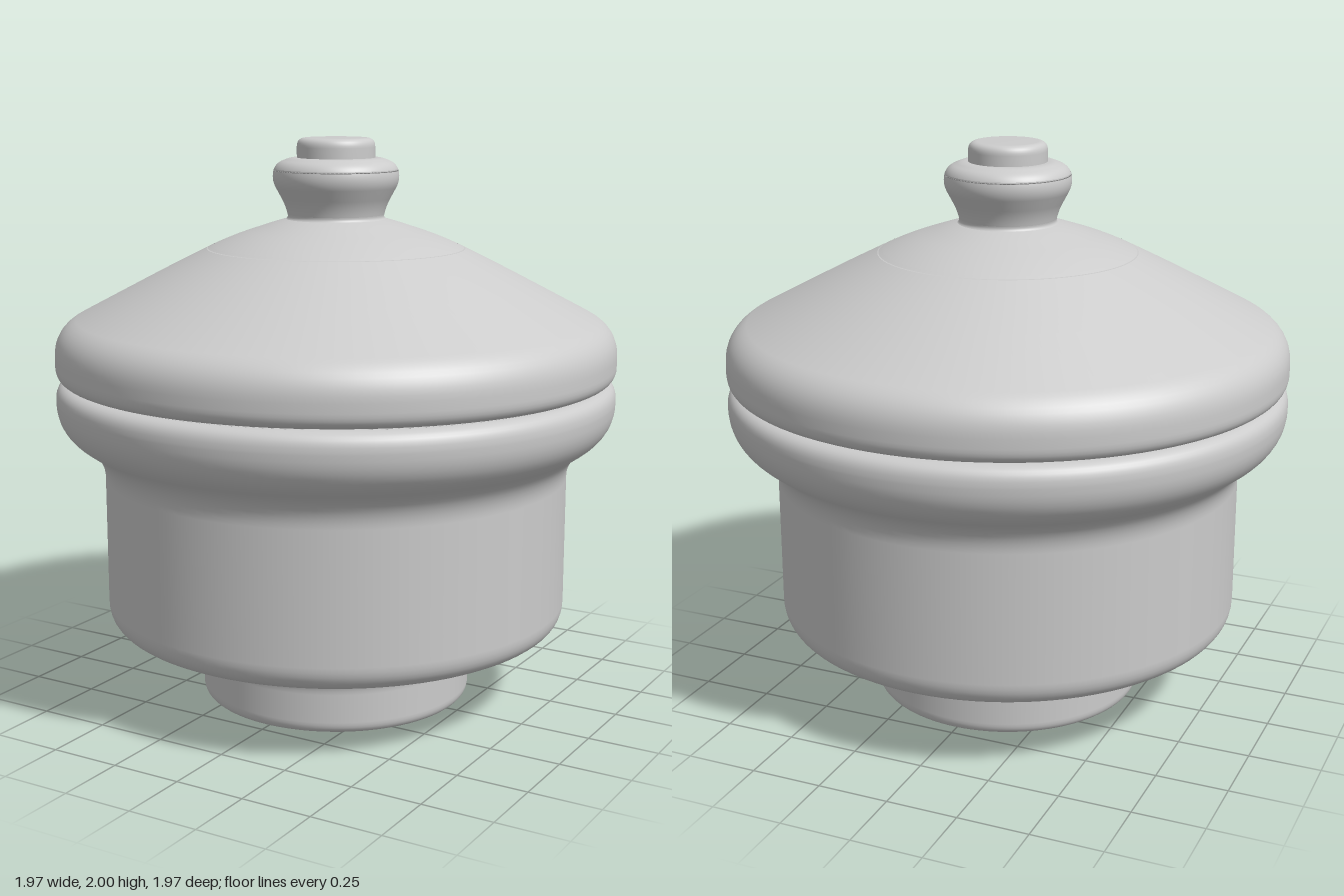
import * as THREE from 'three';

const material = new THREE.MeshStandardMaterial({ color: 0xcccccc });

// Turns corners [radius, height, fillet] into a smooth profile and spins it
function turned(name, corners) {
  const pts = corners.map(([r, y]) => new THREE.Vector2(r, y));
  const path = new THREE.Path().moveTo(pts[0].x, pts[0].y);
  for (let i = 1; i < pts.length; i++) {
    const p = pts[i];
    const fillet = corners[i][2] || 0;
    if (!fillet || i === pts.length - 1) {
      path.lineTo(p.x, p.y);
      continue;
    }
    const dirIn = pts[i - 1].clone().sub(p).setLength(fillet);
    const dirOut = pts[i + 1].clone().sub(p).setLength(fillet);
    path.lineTo(p.x + dirIn.x, p.y + dirIn.y);
    path.quadraticCurveTo(p.x, p.y, p.x + dirOut.x, p.y + dirOut.y);
  }
  const mesh = new THREE.Mesh(new THREE.LatheGeometry(path.getPoints(8), 96), material);
  mesh.name = name;
  return mesh;
}

export function createModel() {
  const group = new THREE.Group();
  group.name = 'liddedJar';

  // Foot, bowl and flared rim
  group.add(turned('jarBody', [
    [0, 0.005],
    [0.484, 0, 0.045],
    [0.484, 0.2, 0.055],
    [0.822, 0.292, 0.075],
    [0.822, 0.898, 0.075],
    [0.985, 1.01, 0.09],
    [0.985, 1.168, 0.06],
    [0.925, 1.168, 0.008],
    [0.9, 1.16],
    [0, 1.16],
  ]));

  // Domed lid
  group.add(turned('lid', [
    [0, 1.18],
    [0.9, 1.18],
    [0.925, 1.172, 0.008],
    [0.985, 1.172, 0.055],
    [0.985, 1.343, 0.085],
    [0.56, 1.567, 0.14],
    [0.38, 1.655, 0.08],
    [0.2, 1.715, 0.05],
    [0.155, 1.726],
    [0, 1.73],
  ]));

  // Flared knob
  group.add(turned('knob', [
    [0.185, 1.715],
    [0.166, 1.725, 0.012],
    [0.175, 1.765, 0.03],
    [0.226, 1.86, 0.035],
    [0.21, 1.912, 0.026],
    [0.16, 1.932, 0.015],
    [0, 1.932],
  ]));

  // Button on top of the knob
  group.add(turned('finial', [
    [0.136, 1.92],
    [0.136, 2, 0.032],
    [0, 2],
  ]));

  return group;
}
